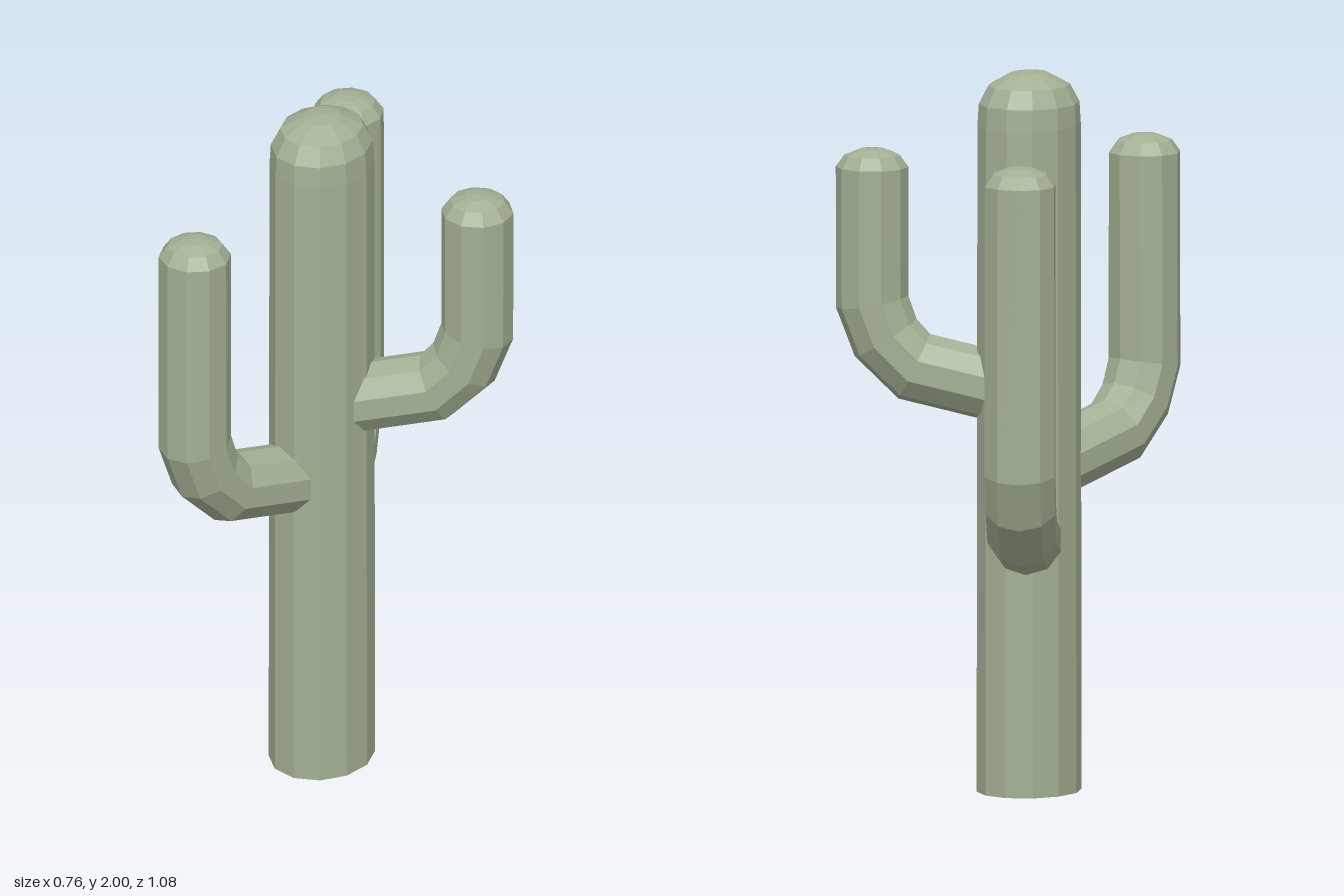
import * as THREE from 'three';

const TRUNK_X = -0.126;
const rad = THREE.MathUtils.degToRad;

// Skins a list of rings (root to tip); each ring has a centre and two half-axes.
function loft(rings, sides) {
  const pos = [], index = [];
  for (const { c, n, b } of rings) {
    for (let k = 0; k < sides; k++) {
      const a = (k / sides) * Math.PI * 2;
      const p = c.clone().addScaledVector(n, Math.cos(a)).addScaledVector(b, Math.sin(a));
      pos.push(p.x, p.y, p.z);
    }
  }
  for (let i = 0; i < rings.length - 1; i++) {
    for (let k = 0; k < sides; k++) {
      const k2 = (k + 1) % sides;
      const p = i * sides + k, q = i * sides + k2;
      const r = p + sides, s = q + sides;
      // Skip collapsed triangles at pointed ends
      if (rings[i].n.length() > 1e-6) index.push(p, q, s);
      if (rings[i + 1].n.length() > 1e-6) index.push(p, s, r);
    }
  }
  const g = new THREE.BufferGeometry();
  g.setAttribute('position', new THREE.Float32BufferAttribute(pos, 3));
  g.setIndex(index);
  const flat = g.toNonIndexed(); // faceted look
  flat.computeVertexNormals();
  return flat;
}

// Trunk: slightly oval twelve-sided column with a rounded top
function trunkGeometry() {
  const profile = [[0, 0], [1, 0], [0.985, 1.85], [0.96, 1.91], [0.78, 1.96], [0.36, 1.993], [0, 2]];
  return loft(profile.map(([s, y]) => ({
    c: new THREE.Vector3(TRUNK_X, y, 0.002),
    n: new THREE.Vector3(0.141 * s, 0, 0),
    b: new THREE.Vector3(0, 0, -0.163 * s),
  })), 12);
}

// Arm: leaves the trunk, bends upward and ends in a low dome
function armGeometry({ angle, reach, root, top }) {
  const t = rad(angle);
  const out = new THREE.Vector3(Math.cos(t), 0, -Math.sin(t));
  const side = new THREE.Vector3(-Math.sin(t), 0, -Math.cos(t));
  // distance from trunk axis, height, ring tilt, radius
  const path = [
    [reach - 0.43, root, -77, 0],
    [reach - 0.43, root, -77, 0.098],
    [reach - 0.116, root + 0.075, -64, 0.1],
    [reach - 0.037, root + 0.155, -32, 0.1],
    [reach, root + 0.255, -10, 0.101],
    [reach, top - 0.053, 0, 0.1],
    [reach, top - 0.02, 0, 0.076],
    [reach, top - 0.004, 0, 0.036],
    [reach, top, 0, 0],
  ];
  return loft(path.map(([d, y, tilt, r]) => ({
    c: new THREE.Vector3(TRUNK_X, y, 0).addScaledVector(out, d),
    n: out.clone().multiplyScalar(Math.cos(rad(tilt)) * r).setY(Math.sin(rad(tilt)) * r),
    b: side.clone().multiplyScalar(r),
  })), 10);
}

export function createModel() {
  const green = new THREE.MeshStandardMaterial({ color: 0xa3b094 });
  green.name = 'cactusGreen';
  const model = new THREE.Group();
  model.name = 'cactus';

  const add = (name, geometry) => {
    const mesh = new THREE.Mesh(geometry, green);
    mesh.name = name;
    model.add(mesh);
  };

  add('trunk', trunkGeometry());
  add('leftArm', armGeometry({ angle: 20, reach: 0.431, root: 1.1, top: 1.782 }));
  add('backArm', armGeometry({ angle: 110, reach: 0.476, root: 0.695, top: 1.803 }));
  add('frontArm', armGeometry({ angle: 250, reach: 0.467, root: 0.885, top: 1.776 }));
  return model;
}
